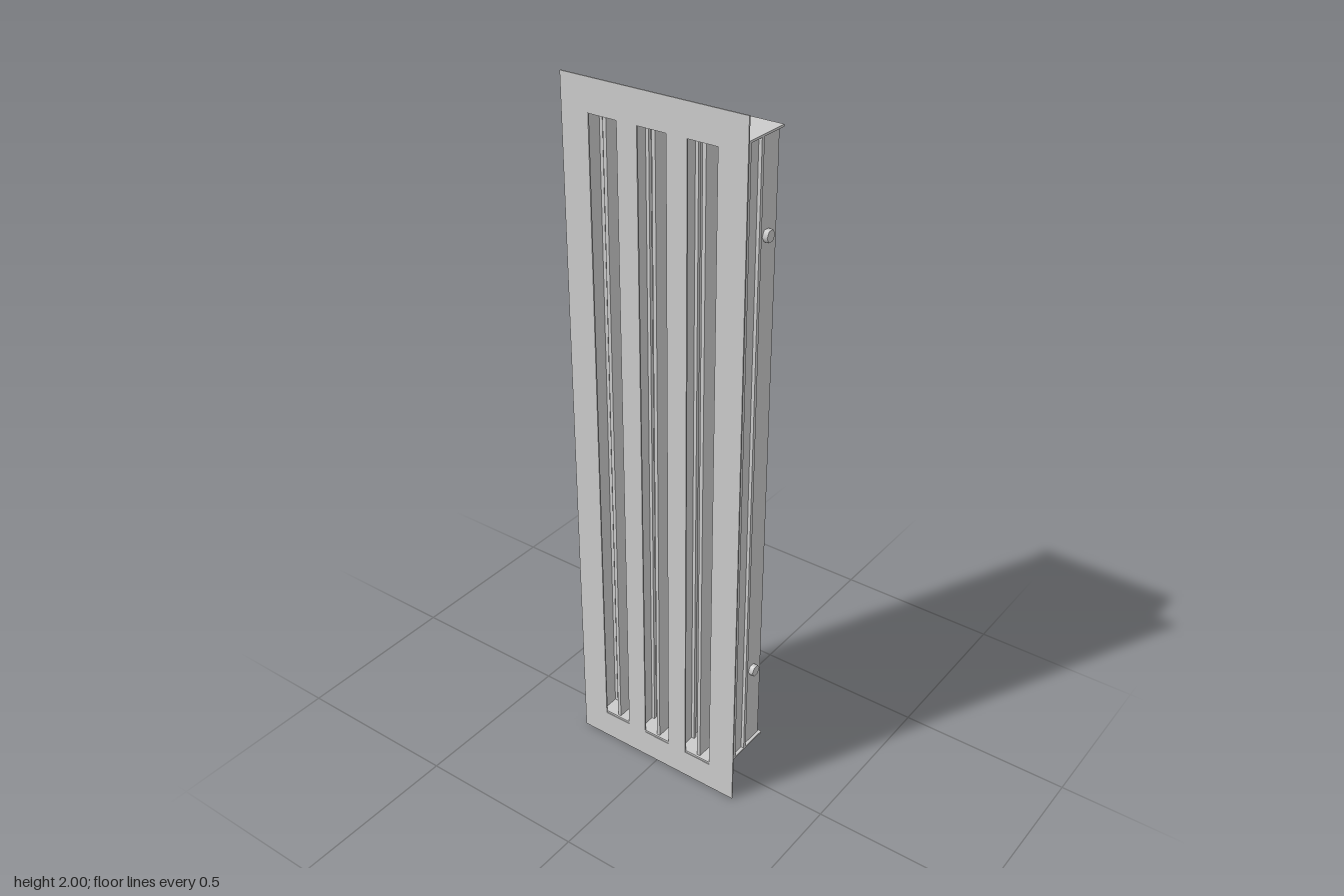
import * as THREE from 'three';

const material = new THREE.MeshStandardMaterial({ color: 0xcccccc, side: THREE.DoubleSide });
const PITCH = 0.143;                       // spacing of the slots
const SLOTS = [-PITCH, 0, PITCH];
const BOTTOM = 0.085, TOP = 1.918;         // ends of the housing
const MID = (BOTTOM + TOP) / 2, LENGTH = TOP - BOTTOM;
const ROD_Z = -0.053, ROD_YS = [0.35, 1.66];

function add(parent, name, geometry, x = 0, y = 0, z = 0) {
  const mesh = new THREE.Mesh(geometry, material);
  mesh.name = name;
  mesh.position.set(x, y, z);
  parent.add(mesh);
  return mesh;
}

const box = (w, h, d) => new THREE.BoxGeometry(w, h, d);

// Rectangle given by its edges, as a closed path
function rect(Type, x0, y0, x1, y1) {
  const p = new Type();
  p.moveTo(x0, y0);
  p.lineTo(x1, y0);
  p.lineTo(x1, y1);
  p.lineTo(x0, y1);
  p.closePath();
  return p;
}

const extrude = (shape, depth) => new THREE.ExtrudeGeometry(shape, { depth, bevelEnabled: false });

// Vertical profile: a web with two ribs on each side
function post(x) {
  const group = new THREE.Group();
  group.name = 'post';
  add(group, 'postWeb', box(0.024, LENGTH, 0.189), x, MID, 0);
  for (const z of [0.037, -0.015]) add(group, 'postRib', box(0.042, LENGTH, 0.01), x, MID, z);
  return group;
}

// Strip with two columns of rectangular openings
function perforatedStrip(x) {
  const shape = rect(THREE.Shape, -0.061, BOTTOM, 0.061, TOP);
  for (let i = 0; i < 24; i++) {
    const y = 0.143 + i * 0.0747;
    shape.holes.push(rect(THREE.Path, -0.041, y - 0.02, -0.006, y + 0.02));
    shape.holes.push(rect(THREE.Path, 0.006, y - 0.02, 0.041, y + 0.02));
  }
  const geometry = extrude(shape, 0.006);
  const group = new THREE.Group();
  group.name = 'slotInsert';
  add(group, 'perforatedStrip', geometry, x, 0, -0.01);
  // Central blade standing behind the slot opening
  add(group, 'centreBlade', box(0.01, LENGTH, 0.098), x, MID, 0.041);
  return group;
}

// Spacer channel between two posts, open to the back
function spacer(x, y) {
  const group = new THREE.Group();
  group.name = 'spacerChannel';
  const width = 0.12;
  add(group, 'spacerWeb', box(width, 0.08, 0.006), x, y, -0.026);
  for (const s of [-1, 1]) add(group, 'spacerFlange', box(width, 0.006, 0.062), x, y + s * 0.037, -0.054);
  return group;
}

export function createModel() {
  const model = new THREE.Group();
  model.name = 'slotDiffuser';

  // Front plate with three long slots
  const face = rect(THREE.Shape, -0.266, 0, 0.266, 2);
  for (const x of SLOTS) face.holes.push(rect(THREE.Path, x - 0.042, BOTTOM, x + 0.042, 1.914));
  add(model, 'frontPlate', extrude(face, 0.004), 0, 0, 0.094);

  // End caps
  for (const y of [BOTTOM + 0.003, TOP - 0.003]) add(model, 'endCap', box(0.46, 0.006, 0.196), 0, y, -0.002);

  // Posts between and beside the slots
  for (const x of [-0.209, -PITCH / 2, PITCH / 2, 0.209]) model.add(post(x));

  for (const x of SLOTS) {
    model.add(perforatedStrip(x));
    for (const y of ROD_YS) model.add(spacer(x, y));
  }

  // Tie rods with hexagonal heads
  for (const y of ROD_YS) {
    const rod = add(model, 'tieRod', new THREE.CylinderGeometry(0.008, 0.008, 0.44, 16), 0, y, ROD_Z);
    rod.rotation.z = Math.PI / 2;
    for (const s of [-1, 1]) {
      const head = add(model, 'rodHead', new THREE.CylinderGeometry(0.017, 0.017, 0.014, 6), s * 0.228, y, ROD_Z);
      head.rotation.z = Math.PI / 2;
    }
  }
  return model;
}
